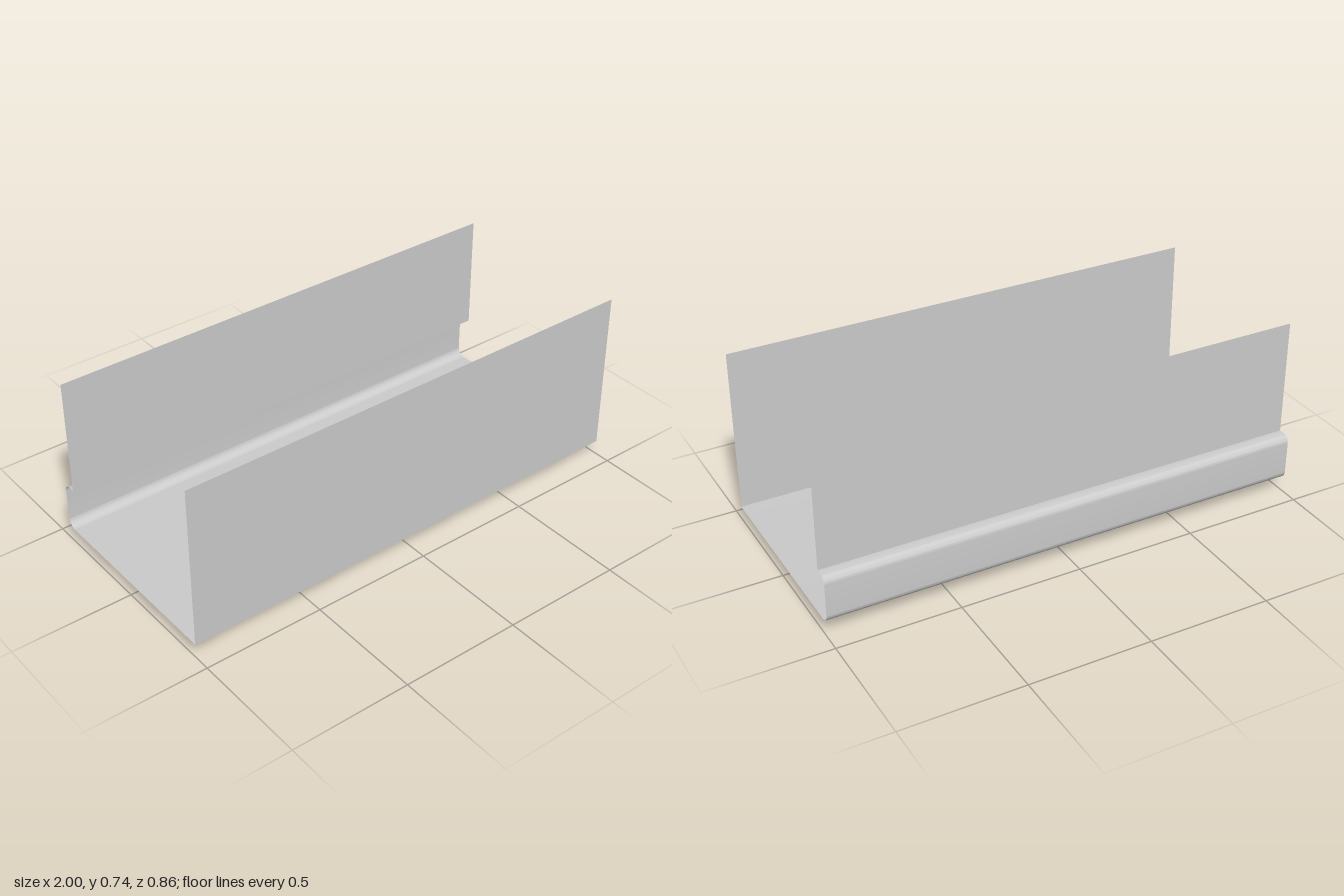
import * as THREE from 'three';
import { toCreasedNormals } from 'three/addons/utils/BufferGeometryUtils.js';

const grey = () => new THREE.MeshStandardMaterial({ color: 0xcccccc, side: THREE.DoubleSide });

// Sweep an open (z, y) section along x as a thin sheet
function sheet(section, halfLength) {
  const pos = [], index = [];
  section.forEach((p, i) => {
    pos.push(-halfLength, p.y, p.x, halfLength, p.y, p.x);
    if (i > 0) {
      const a = 2 * (i - 1);
      index.push(a, a + 2, a + 1, a + 1, a + 2, a + 3);
    }
  });
  const g = new THREE.BufferGeometry();
  g.setAttribute('position', new THREE.Float32BufferAttribute(pos, 3));
  g.setIndex(index);
  return toCreasedNormals(g, Math.PI / 5);
}

export function createModel() {
  const model = new THREE.Group();
  model.name = 'channelWithLamps';

  // Folded channel: front wall, floor, rounded rear step, rear wall
  const section = new THREE.Path();
  section.moveTo(0.43, 0.74);
  section.lineTo(0.43, 0.06);
  section.lineTo(-0.395, 0.06);
  section.absarc(-0.395, 0.095, 0.035, -Math.PI / 2, -Math.PI, true);
  section.lineTo(-0.43, 0.23);
  section.absarc(-0.4, 0.23, 0.03, Math.PI, Math.PI / 2, true);
  section.lineTo(-0.375, 0.26);
  section.lineTo(-0.375, 0.74);
  const channel = new THREE.Mesh(sheet(section.getPoints(8), 1), grey());
  channel.name = 'channel';
  model.add(channel);

  // Shallow domed lens
  const lensPoints = [];
  for (let i = 0; i <= 10; i++) {
    const a = (i / 10) * Math.PI / 2;
    lensPoints.push(new THREE.Vector2(0.114 * Math.sin(a), 0.04 - 0.04 * Math.cos(a)));
  }
  const lensGeometry = new THREE.LatheGeometry(lensPoints, 48);

  // Bezel ring with a recessed step around the lens
  const ringPoints = [[0.11, 0.035], [0.128, 0.035], [0.132, 0.041], [0.144, 0.041],
    [0.148, 0.035], [0.161, 0.035], [0.161, 0.059], [0.11, 0.059]]
    .map(([r, y]) => new THREE.Vector2(r, y));
  const ringGeometry = toCreasedNormals(new THREE.LatheGeometry(ringPoints, 48), Math.PI / 6);

  for (const x of [-0.485, 0.52]) {
    const lamp = new THREE.Group();
    lamp.name = x > 0 ? 'leftLamp' : 'rightLamp';
    const lens = new THREE.Mesh(lensGeometry, grey());
    lens.name = 'lens';
    const ring = new THREE.Mesh(ringGeometry, grey());
    ring.name = 'bezel';
    lamp.add(lens, ring);
    lamp.position.set(x, 0, 0.003);
    model.add(lamp);
  }
  return model;
}
